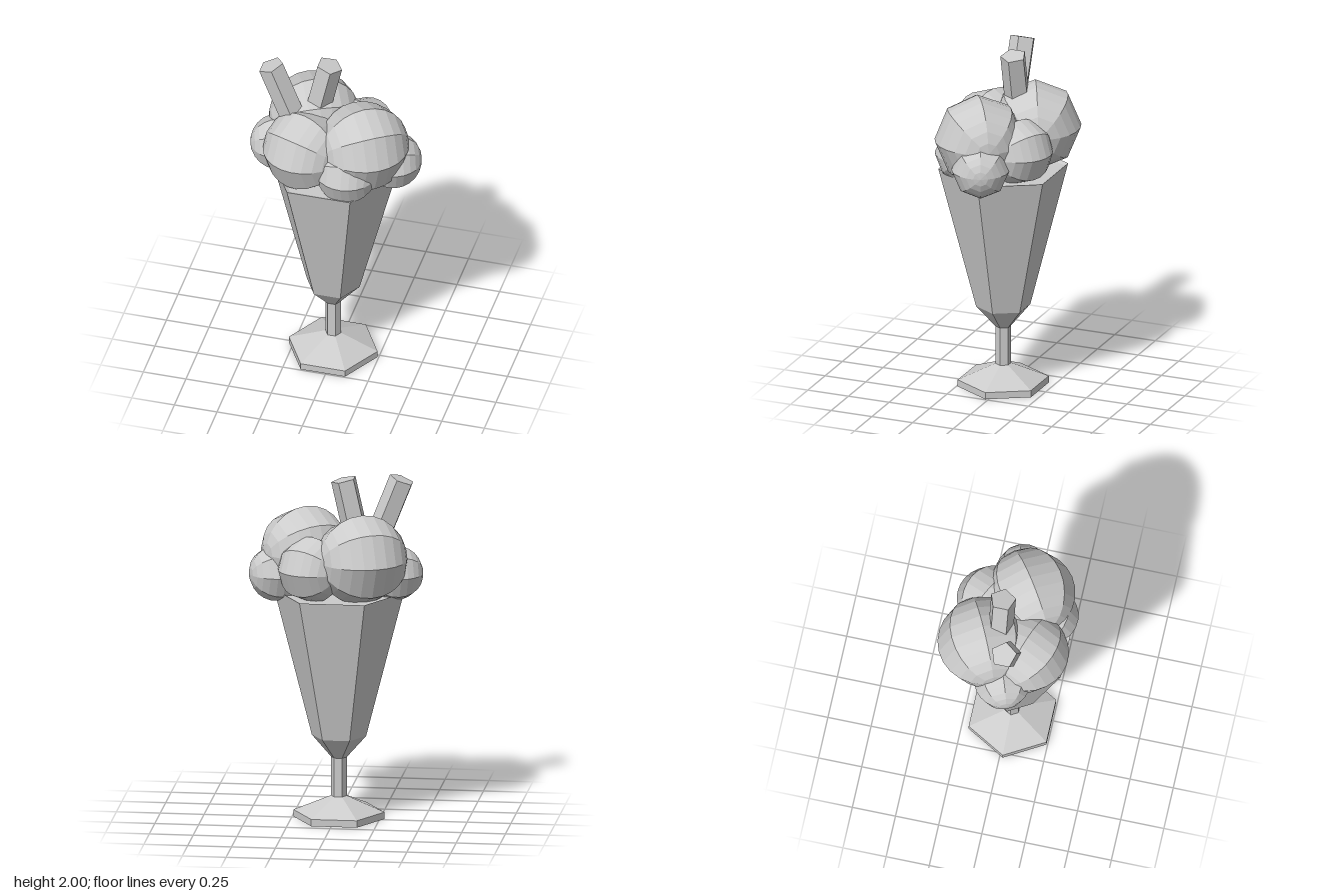
import * as THREE from 'three';

const grey = new THREE.MeshStandardMaterial({ color: 0xcccccc, flatShading: true });
const glassMaterial = new THREE.MeshStandardMaterial({
  color: 0xcccccc, flatShading: true, side: THREE.DoubleSide,
});

export function createModel() {
  const group = new THREE.Group();

  const add = (name, geometry, x, y, z, parent = group) => {
    const mesh = new THREE.Mesh(geometry, grey);
    mesh.name = name;
    mesh.position.set(x, y, z);
    parent.add(mesh);
    return mesh;
  };

  // Six-sided footed glass, with corners on the x axis and a shallow filling
  const profile = [
    [0, 0], [0.26, 0], [0.26, 0.04], [0.045, 0.13], [0.045, 0.355],
    [0.155, 0.48], [0.37, 1.32], [0.345, 1.31], [0, 1.30],
  ].map(([r, y]) => new THREE.Vector2(r, y));
  const glass = add('sundaeGlass', new THREE.LatheGeometry(profile, 6, Math.PI / 2), -0.017, 0, 0.018);
  glass.material = glassMaterial;

  // Scoops: faceted balls lying on their side, each turned about y
  const scoops = new THREE.Group();
  scoops.name = 'scoops';
  group.add(scoops);
  const addScoop = (name, r, x, y, z, turn) => {
    const ball = new THREE.SphereGeometry(r, 8, 12).rotateZ(Math.PI / 2).rotateY(turn);
    add(name, ball, x, y, z, scoops);
  };
  addScoop('scoopFrontLeft', 0.255, 0.18, 1.54, 0.08, 0.6);
  addScoop('scoopBackRight', 0.258, -0.165, 1.54, -0.12, 0.45);
  addScoop('scoopFrontRight', 0.235, -0.155, 1.49, 0.135, -0.35);
  addScoop('scoopBackLeft', 0.19, 0.12, 1.48, -0.14, -0.5);
  addScoop('smallScoopLeft', 0.165, 0.33, 1.42, 0.01, 0.4);
  addScoop('smallScoopRight', 0.16, -0.335, 1.43, 0.03, 0.35);
  addScoop('smallScoopFront', 0.175, 0.11, 1.42, 0.195, 0.05);

  // Five-sided wafer sticks, placed by the centre of the top end
  const addWafer = (name, x, y, z, lean) => {
    const stick = new THREE.CylinderGeometry(0.075, 0.075, 0.5, 5)
      .rotateY(Math.PI / 2).translate(0, -0.25, 0);
    add(name, stick, x, y, z).rotation.z = lean;
  };
  addWafer('waferRight', -0.375, 1.975, 0.045, 0.375);
  addWafer('waferLeft', -0.052, 1.982, -0.03, -0.22);

  return group;
}
